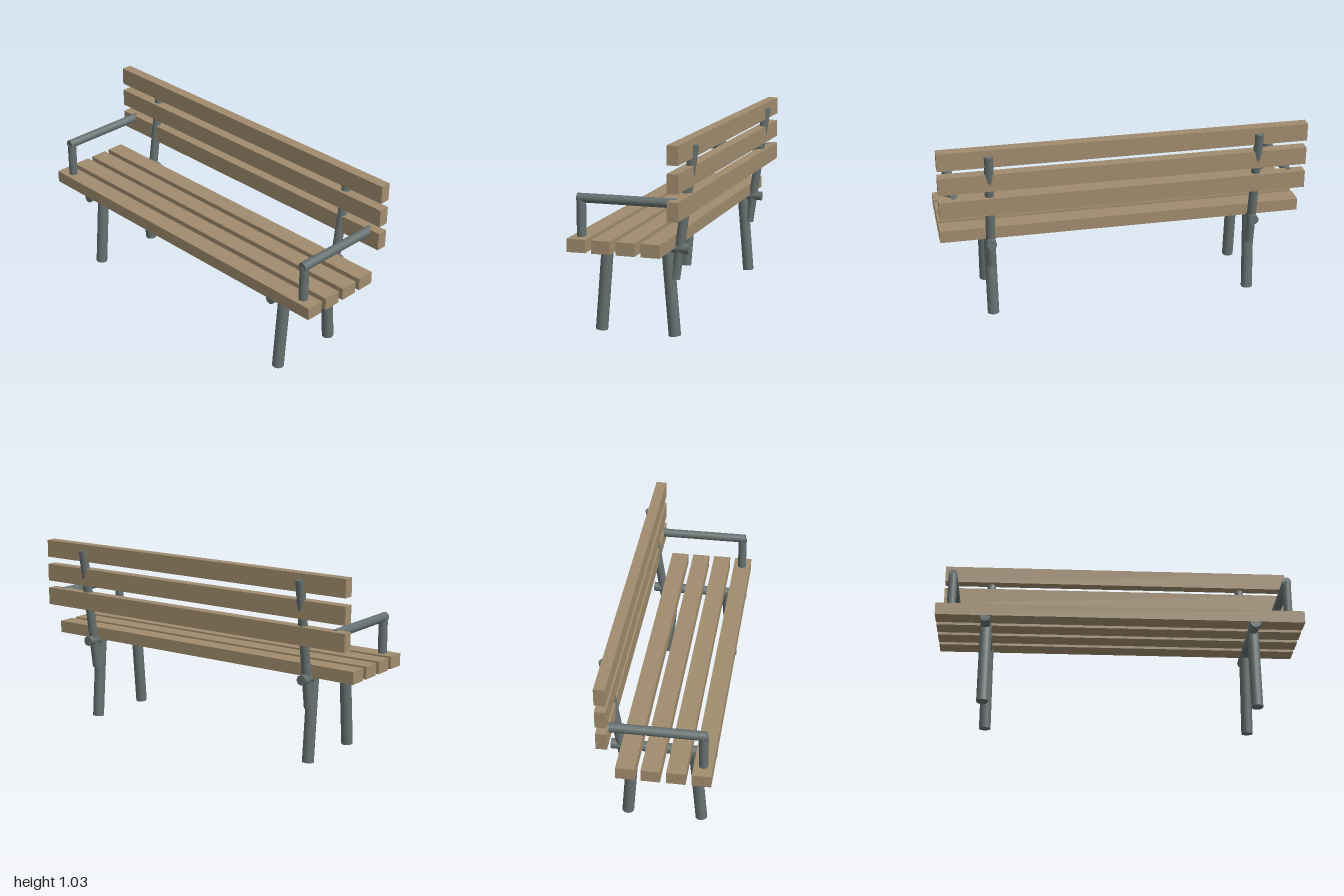
import * as THREE from 'three';

const wood = new THREE.MeshStandardMaterial({ color: 0xa18d6e });
const metal = new THREE.MeshStandardMaterial({ color: 0x667070 });

export function createModel() {
  const bench = new THREE.Group();
  bench.name = 'bench';

  function slat(name, y, z, height, depth) {
    const mesh = new THREE.Mesh(new THREE.BoxGeometry(2, height, depth), wood);
    mesh.position.set(0, y, z);
    mesh.name = name;
    bench.add(mesh);
  }

  // Round tube between two points given as [y, z], at a fixed x
  function tube(name, x, from, to, radius) {
    const a = new THREE.Vector3(x, ...from);
    const b = new THREE.Vector3(x, ...to);
    const dir = b.clone().sub(a);
    const mesh = new THREE.Mesh(new THREE.CylinderGeometry(radius, radius, dir.length(), 16), metal);
    mesh.position.copy(a).add(b).multiplyScalar(0.5);
    mesh.quaternion.setFromUnitVectors(new THREE.Vector3(0, 1, 0), dir.normalize());
    mesh.name = name;
    bench.add(mesh);
  }

  // Seat and backrest planks
  for (let i = 0; i < 4; i++) slat('seatSlat', 0.504, 0.255 - i * 0.13, 0.068, 0.099);
  for (let i = 0; i < 3; i++) slat('backSlat', 0.705 + i * 0.1395, -0.25, 0.098, 0.058);

  // Mirrored metal frames and armrests
  for (const [side, s] of [['left', 1], ['right', -1]]) {
    const x = s * 0.73;
    tube(side + 'SeatRail', x, [0.465, 0.303], [0.465, -0.254], 0.0275);
    tube(side + 'FrontLeg', x, [0.003, 0.225], [0.465, 0.186], 0.032);
    tube(side + 'BackLeg', x, [0.003, -0.175], [0.465, -0.137], 0.032);
    tube(side + 'BackPost', x, [0.304, -0.178], [1.0, -0.278], 0.025);

    const armX = s * 0.918;
    tube(side + 'ArmPost', armX, [0.52, 0.255], [0.731, 0.255], 0.0245);
    tube(side + 'ArmRest', armX, [0.734, 0.273], [0.734, -0.245], 0.0245);
  }
  return bench;
}
